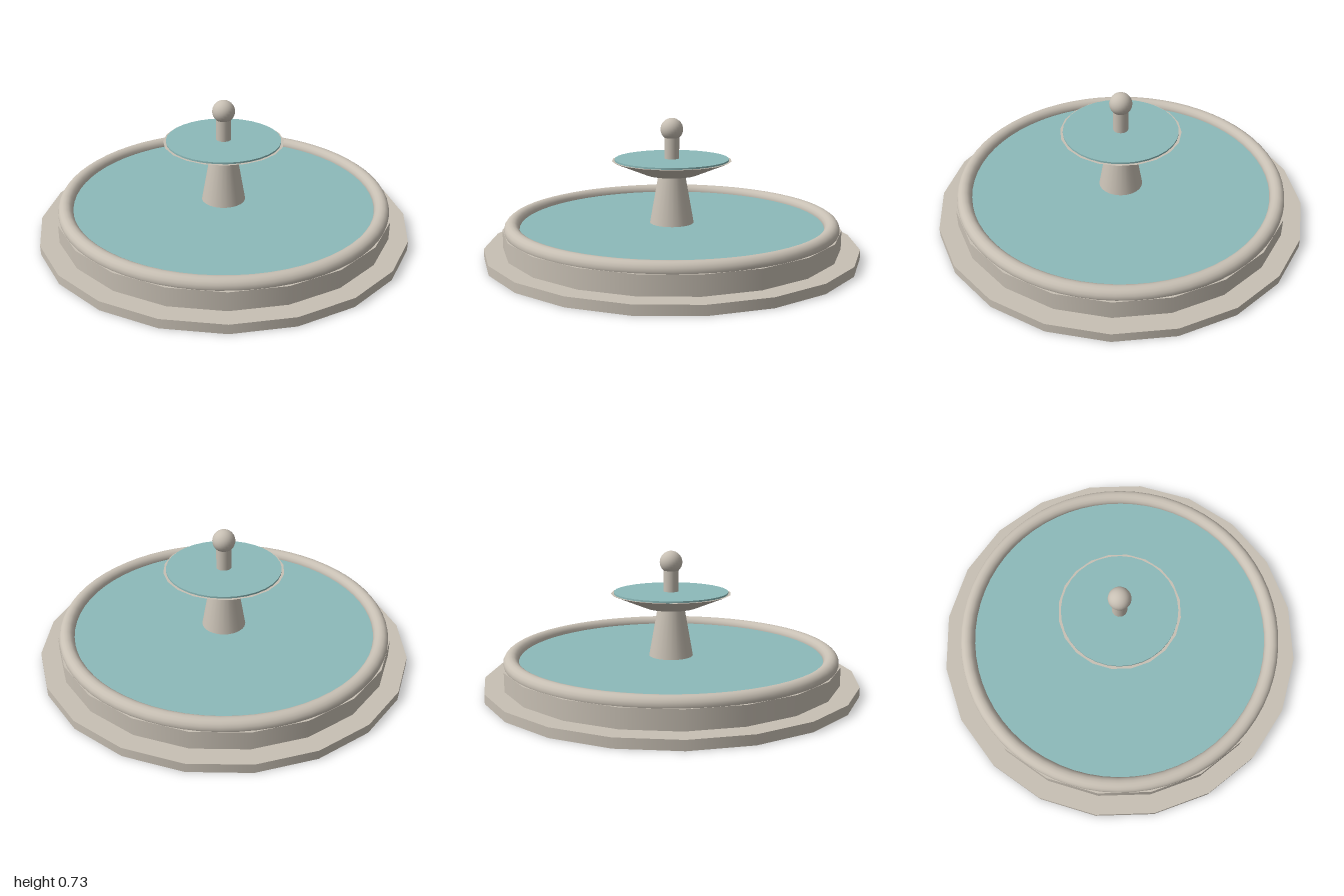
import * as THREE from 'three';

export function createModel() {
  const fountain = new THREE.Group();
  fountain.name = 'fountain';

  const stone = new THREE.MeshStandardMaterial({ color: 0xc8c0b4 });
  stone.name = 'stone';
  const water = new THREE.MeshStandardMaterial({ color: 0x8cbaba });
  water.name = 'water';

  const add = (name, geometry, material, y) => {
    const mesh = new THREE.Mesh(geometry, material);
    mesh.name = name;
    mesh.position.y = y;
    fountain.add(mesh);
    return mesh;
  };

  // Round part spanning y0 to y1
  const column = (name, rTop, rBottom, y0, y1, sides, material = stone) =>
    add(name, new THREE.CylinderGeometry(rTop, rBottom, y1 - y0, sides), material, (y0 + y1) / 2);

  // Twenty-sided step and basin wall
  column('baseStep', 1, 1, 0, 0.05, 20);
  column('basinWall', 0.9, 0.9, 0.05, 0.15, 20);

  // Rounded rim around the pool
  const rim = new THREE.TorusGeometry(0.85, 0.04, 16, 64);
  rim.rotateX(Math.PI / 2);
  add('basinRim', rim, stone, 0.16);

  // Pool surface
  column('poolWater', 0.83, 0.83, 0.151, 0.16, 64, water);

  // Tapered pedestal carrying the upper bowl
  column('pedestal', 0.07, 0.12, 0.15, 0.43, 24);
  column('upperBowl', 0.32, 0.14, 0.425, 0.5, 20);
  column('bowlWater', 0.305, 0.305, 0.5, 0.509, 32, water);

  // Spout and ball finial
  column('spout', 0.04, 0.04, 0.5, 0.63, 20);
  add('finial', new THREE.SphereGeometry(0.06, 24, 16), stone, 0.665);

  return fountain;
}
